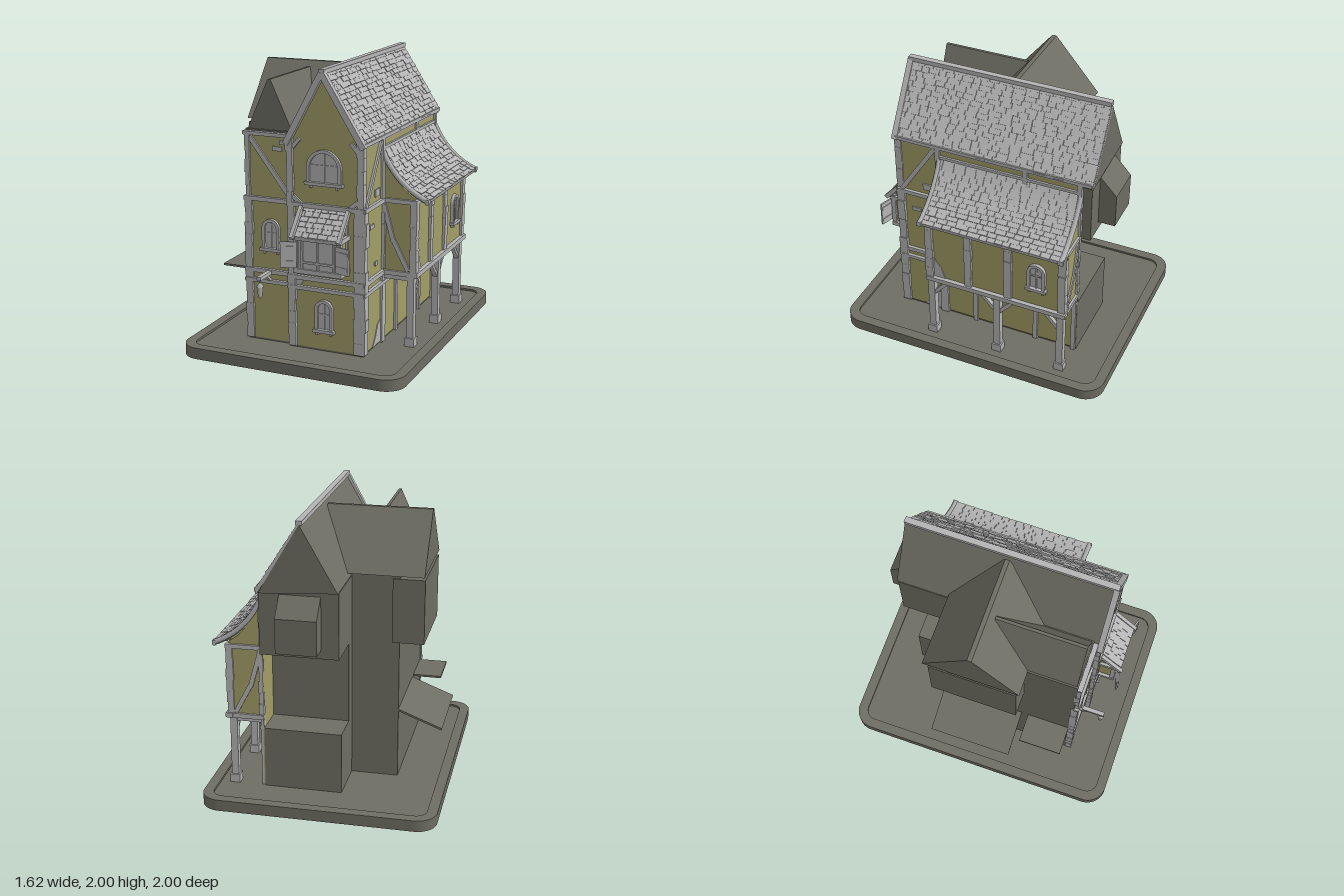
import * as THREE from 'three';
import { mergeGeometries } from 'three/addons/utils/BufferGeometryUtils.js';

const mat = (name, color) => Object.assign(new THREE.MeshStandardMaterial({ color }), { name });
const V = (x, y, z = 0) => new THREE.Vector3(x, y, z);

export function createModel() {
  const root = new THREE.Group();
  root.name = 'timberHouse';
  const grey = mat('paleGrey', 0xb4b4b4);
  const plaster = mat('ochrePlaster', 0xa19d66);
  const dark = mat('darkStone', 0x6e6d63);

  let seed = 7;
  const rnd = () => (seed = (seed * 16807) % 2147483647) / 2147483647;
  const jit = (a) => (rnd() - 0.5) * 2 * a;

  const add = (name, geo, m, parent = root) => {
    const mesh = new THREE.Mesh(geo, m);
    mesh.name = name;
    parent.add(mesh);
    return mesh;
  };
  // box given by its limits on each axis
  const block = (name, m, x0, x1, y0, y1, z0, z1, parent) => {
    const g = new THREE.BoxGeometry(x1 - x0, y1 - y0, z1 - z0);
    g.translate((x0 + x1) / 2, (y0 + y1) / 2, (z0 + z1) / 2);
    return add(name, g, m, parent);
  };
  // timber from p to q with a section a (x) by b (z)
  const bar = (name, p, q, a, b, parent, m = grey) => {
    const d = q.clone().sub(p);
    const mesh = add(name, new THREE.BoxGeometry(a, d.length(), b), m, parent);
    mesh.position.copy(p).add(q).multiplyScalar(0.5);
    mesh.quaternion.setFromUnitVectors(V(0, 1, 0), d.normalize());
    return mesh;
  };
  const shapeOf = (pts) => new THREE.Shape(pts.map(([x, y]) => new THREE.Vector2(x, y)));
  const extrude = (shape, depth) => new THREE.ExtrudeGeometry(shape, { depth, bevelEnabled: false, curveSegments: 10 });
  // outline in (x, y) swept along z
  const prismZ = (name, m, pts, z0, z1, parent) =>
    add(name, extrude(shapeOf(pts), z1 - z0).translate(0, 0, z0), m, parent);
  // outline in (z, y) swept along x
  const prismX = (name, m, pts, x0, x1, parent) =>
    add(name, extrude(shapeOf(pts.map(([z, y]) => [-z, y])), x1 - x0).rotateY(Math.PI / 2).translate(x0, 0, 0), m, parent);
  // column of uneven stacked blocks
  const quoins = (name, x, z, y0, y1, w, d) => {
    const n = Math.max(2, Math.round((y1 - y0) / 0.085));
    const h = (y1 - y0) / n;
    const parts = [];
    for (let i = 0; i < n; i++) {
      const g = new THREE.BoxGeometry(w + jit(0.007), h, d + jit(0.005));
      parts.push(g.translate(x + jit(0.003), y0 + (i + 0.5) * h, z));
    }
    add(name, mergeGeometries(parts), grey);
  };

  // ---- base tray
  const rounded = (w, h, r) => {
    const s = new THREE.Shape();
    s.absarc(w - r, h - r, r, 0, Math.PI / 2);
    s.absarc(r - w, h - r, r, Math.PI / 2, Math.PI);
    s.absarc(r - w, r - h, r, Math.PI, Math.PI * 1.5);
    s.absarc(w - r, r - h, r, Math.PI * 1.5, Math.PI * 2);
    return s;
  };
  const rim = rounded(0.81, 1, 0.14);
  rim.holes.push(rounded(0.74, 0.93, 0.08));
  add('baseRim', extrude(rim, 0.08).rotateX(-Math.PI / 2), dark);
  add('baseFloor', extrude(rounded(0.81, 1, 0.14), 0.065).rotateX(-Math.PI / 2), dark);

  // ---- plain masonry bodies
  block('groundFloor', dark, -0.12, 0.42, 0.06, 0.5, -0.69, 0.66);
  block('middleFloor', dark, -0.12, 0.42, 0.5, 1.08, -0.45, 0.66);
  block('upperFloor', dark, -0.12, 0.42, 1.07, 1.53, -0.76, 0.66);
  block('sideWing', dark, -0.45, -0.1, 0.06, 1.56, -0.35, 0.63);
  block('wingOverhang', dark, -0.62, -0.4, 1.07, 1.525, -0.36, 0.26);
  prismX('backBay', dark, [[-0.75, 1.13], [-0.88, 1.13], [-0.88, 1.37], [-0.75, 1.51]], 0, 0.28);
  prismZ('mainRoofCore', dark, [[-0.115, 1.53], [0.42, 1.5], [0.138, 1.975]], -0.77, 0.66);
  prismX('wingRoof', dark, [[-0.4, 1.555], [0.28, 1.555], [-0.04, 1.94], [-0.07, 1.94]], -0.62, 0.11);
  prismZ('frontWingRoof', dark, [[-0.44, 1.555], [-0.105, 1.555], [-0.265, 1.9], [-0.285, 1.9]], 0, 0.62);
  bar('slopedAwning', V(-0.755, 0.45, -0.05), V(-0.44, 0.572, -0.05), 0.014, 0.6, root, dark);
  block('flatAwning', dark, -0.655, -0.44, 0.562, 0.576, 0.3, 0.61);

  // ---- plaster faces and side aisle
  block('wingFrontPlaster', plaster, -0.44, -0.11, 0.08, 1.54, 0.63, 0.638);
  prismZ('mainFrontPlaster', plaster, [[-0.115, 0.08], [0.42, 0.08], [0.42, 1.52], [0.138, 1.96], [-0.115, 1.53]], 0.66, 0.668);
  block('rightPlaster', plaster, 0.42, 0.428, 0.08, 1.52, -0.69, 0.66);
  prismZ('aisle', plaster, [[0.42, 0.56], [0.66, 0.56], [0.66, 1.11], [0.58, 1.17], [0.5, 1.27], [0.42, 1.4]], -0.68, 0.335);

  // ---- tiled roofs following a curve in the xy plane
  const tileRoof = (name, curve, z0, z1, rows, tileW, parent = root) => {
    const top = curve.getPoints(12).map((p) => [p.x, p.y]);
    const under = top.map(([x, y]) => [x - 0.008, y - 0.024]).reverse();
    prismZ(name + 'Slab', grey, [...top, ...under], z0, z1, parent);
    const pitch = curve.getLength() / rows;
    const tiles = [];
    for (let r = 0; r < rows; r++) {
      const u = (r + 0.5) / rows, p = curve.getPointAt(u), t = curve.getTangentAt(u);
      for (let z = z0; z < z1 - 0.005;) {
        let w = Math.min(tileW * (0.65 + 0.7 * rnd()), z1 - z);
        if (z1 - z - w < 0.02) w = z1 - z;
        const g = new THREE.BoxGeometry(pitch * 1.12 + jit(0.004), 0.01, w - 0.004);
        g.rotateZ(Math.atan2(t.y, t.x) + 0.12);
        tiles.push(g.translate(p.x + jit(0.002), p.y + 0.003 + jit(0.002), z + w / 2));
        z += w;
      }
    }
    add(name + 'Tiles', mergeGeometries(tiles), grey, parent);
  };
  tileRoof('mainRoof', new THREE.LineCurve3(V(0.14, 1.98), V(0.437, 1.515)), -0.77, 0.695, 15, 0.075);
  const aisleCurve = new THREE.QuadraticBezierCurve3(V(0.43, 1.425), V(0.53, 1.2), V(0.755, 1.105));
  tileRoof('aisleRoof', aisleCurve, -0.68, 0.34, 13, 0.07);
  for (const z of [-0.685, 0.345]) {
    const log = add('aisleRoofEdge', new THREE.TubeGeometry(aisleCurve, 12, 0.019, 6), grey);
    log.position.z = z;
    block('aisleEdgeCap', grey, 0.742, 0.765, 1.085, 1.12, z - 0.018, z + 0.018);
  }
  for (let i = 0; i < 9; i++) block('rafterEnd', plaster, 0.65, 0.72, 1.085, 1.11, -0.61 + i * 0.1, -0.55 + i * 0.1);

  // ---- gable boards
  bar('gableBoardLeft', V(-0.125, 1.49, 0.68), V(0.138, 1.975, 0.68), 0.042, 0.04);
  bar('gableBoardRight', V(0.435, 1.5, 0.68), V(0.138, 1.975, 0.68), 0.042, 0.04);
  block('ridgeCap', grey, 0.118, 0.16, 1.97, 2, -0.77, 0.695);

  // ---- front columns and beams
  quoins('wingColumn', -0.43, 0.63, 0.08, 1.08, 0.055, 0.05);
  quoins('middleColumn', -0.09, 0.665, 0.08, 1.08, 0.055, 0.05);
  quoins('cornerColumn', 0.405, 0.655, 0.08, 1.08, 0.085, 0.06);
  quoins('wingUpperColumn', -0.43, 0.635, 1.08, 1.53, 0.035, 0.04);
  quoins('middleUpperColumn', -0.1, 0.67, 1.08, 1.53, 0.045, 0.04);
  quoins('cornerUpperColumn', 0.41, 0.66, 1.08, 1.53, 0.05, 0.05);
  for (const [y, w] of [[0.578, 0.03], [0.505, 0.026], [1.085, 0.03], [1.535, 0.025]]) {
    bar('wingBeam', V(-0.46, y, 0.645), V(-0.1, y, 0.645), w, 0.035);
    if (y < 1.5) bar('mainBeam', V(-0.12, y, 0.675), V(0.44, y, 0.675), w, 0.035);
  }
  bar('wingBrace', V(-0.415, 1.51, 0.64), V(-0.12, 1.12, 0.64), 0.032, 0.022);
  for (const [x, s] of [[-0.08, 1], [0.39, -1]]) {
    bar('upperCornerBrace', V(x, 1.14, 0.672), V(x + 0.06 * s, 1.09, 0.672), 0.03, 0.02);
    bar('lowerCornerBrace', V(x, 1.47, 0.672), V(x + 0.05 * s, 1.53, 0.672), 0.025, 0.02);
  }

  // ---- aisle front and back frames
  for (const z of [0.337, -0.682]) {
    bar('aisleLowBeam', V(0.42, 0.578, z), V(0.69, 0.578, z), 0.032, 0.03);
    bar('aisleHighBeam', V(0.42, 1.085, z), V(0.68, 1.085, z), 0.03, 0.03);
    bar('aisleBraceTop', V(0.44, 1.05, z), V(0.51, 0.8, z), 0.032, 0.02);
    bar('aisleBraceFoot', V(0.51, 0.81, z), V(0.62, 0.6, z), 0.032, 0.02);
    quoins('aisleEdgeColumn', 0.435, z, 0.6, 1.08, 0.03, 0.03);
  }
  // ---- aisle right side: columns, beams, posts with braces
  for (const z of [0.325, 0.03, -0.27, -0.665]) quoins('aisleColumn', 0.655, z, 0.59, 1.08, 0.05, 0.055);
  bar('aisleSill', V(0.665, 0.578, 0.35), V(0.665, 0.578, -0.7), 0.05, 0.034);
  bar('aislePlate', V(0.665, 1.085, 0.35), V(0.665, 1.085, -0.7), 0.03, 0.028);
  for (const z of [0.325, -0.18, -0.655]) {
    block('aislePost', grey, 0.615, 0.665, 0.1, 0.57, z - 0.025, z + 0.025);
    block('postFoot', grey, 0.605, 0.675, 0.065, 0.125, z - 0.035, z + 0.035);
    for (const s of [-1, 1])
      if (Math.abs(z + s * 0.14) < 0.68 && z + s * 0.14 < 0.4)
        bar('postBrace', V(0.64, 0.41, z), V(0.64, 0.565, z + s * 0.14), 0.03, 0.026);
    bar('floorJoist', V(0.42, 0.55, z), V(0.66, 0.55, z), 0.035, 0.035);
  }
  // ---- right wall timbers
  bar('rightLowBeam', V(0.435, 0.505, 0.68), V(0.435, 0.505, -0.69), 0.03, 0.026);
  bar('rightSill', V(0.435, 0.578, 0.68), V(0.435, 0.578, 0.33), 0.03, 0.03);
  bar('rightMidBeam', V(0.435, 1.085, 0.68), V(0.435, 1.085, 0.33), 0.03, 0.03);
  bar('rightTopBeam', V(0.43, 1.52, 0.68), V(0.43, 1.52, -0.76), 0.03, 0.025);
  bar('rightRail', V(0.432, 1.445, 0.35), V(0.432, 1.445, -0.69), 0.022, 0.022);
  bar('rightBrace', V(0.432, 1.1, 0.645), V(0.432, 1.5, 0.38), 0.02, 0.032);
  for (const z of [0.355, -0.29, -0.68]) bar('rightStud', V(0.432, 1.07, z), V(0.432, 1.52, z), 0.025, 0.035);
  for (const z of [0.34, 0.09, -0.38, -0.67]) bar('groundStud', V(0.432, 0.07, z), V(0.432, 0.56, z), 0.025, z > 0.3 ? 0.06 : 0.032);

  // ---- bare patches and loose bricks
  prismX('wallPatch', grey, [[0.51, 0.08], [0.35, 0.08], [0.35, 0.25], [0.42, 0.22], [0.46, 0.14]], 0.428, 0.433);
  prismX('aislePatch', grey, [[0.3, 0.59], [0.21, 0.59], [0.24, 0.68], [0.28, 0.73], [0.3, 0.77]], 0.66, 0.665);
  prismZ('frontPatch', grey, [[-0.07, 0.52], [-0.03, 0.52], [0, 0.57], [-0.07, 0.57]], 0.668, 0.673);
  for (const [z, y, w, h] of [[0.445, 1.16, 0.07, 0.05], [0.54, 0.945, 0.07, 0.028], [0.46, 0.67, 0.04, 0.03], [-0.32, 0.46, 0.07, 0.028], [-0.34, 0.43, 0.05, 0.025]])
    block('looseBrick', grey, 0.425, 0.437, y - h / 2, y + h / 2, z - w / 2, z + w / 2);
  block('looseBrick', grey, -0.245, -0.175, 1.425, 1.455, 0.63, 0.648);
  block('looseBrick', grey, -0.19, -0.145, 1.47, 1.498, 0.63, 0.648);

  // ---- arched windows facing local +z, origin at the sill centre
  const arch = (w, h) => {
    const s = new THREE.Shape();
    s.moveTo(-w / 2, 0);
    s.lineTo(w / 2, 0);
    s.lineTo(w / 2, h - w / 2);
    s.absarc(0, h - w / 2, w / 2, 0, Math.PI);
    return s;
  };
  const archWindow = (name, w, h, x, y, z, turn = 0) => {
    const g = new THREE.Group();
    g.name = name;
    const f = 0.022;
    const frame = arch(w, h);
    frame.holes.push(arch(w - 2 * f, h - f));
    add('windowFrame', extrude(frame, 0.024), grey, g);
    add('windowPane', extrude(arch(w - f, h - f / 2), 0.008), grey, g);
    block('windowSill', grey, -w / 2 - 0.012, w / 2 + 0.012, -0.016, 0.006, 0, 0.034, g);
    block('mullion', grey, -0.005, 0.005, 0, h - f, 0, 0.015, g);
    block('transom', grey, -w / 2 + f, w / 2 - f, h * 0.5, h * 0.5 + 0.01, 0, 0.015, g);
    for (const s of [-1, 1]) block('sillBracket', grey, s * w * 0.38 - 0.008, s * w * 0.38 + 0.008, -0.035, -0.01, 0, 0.025, g);
    g.position.set(x, y, z);
    g.rotation.y = turn;
    root.add(g);
  };
  archWindow('upperWindow', 0.25, 0.225, 0.15, 1.245, 0.666);
  archWindow('wingWindow', 0.13, 0.21, -0.262, 0.74, 0.636);
  archWindow('groundWindow', 0.13, 0.215, 0.145, 0.22, 0.666);
  archWindow('aisleWindow', 0.13, 0.205, 0.66, 0.75, -0.48, Math.PI / 2);

  // ---- front bay window with small roof and open shutters
  block('bayBody', plaster, 0, 0.31, 0.66, 0.92, 0.66, 0.79);
  prismX('bayCheeks', plaster, [[0.66, 0.9], [0.8, 0.9], [0.67, 1.05]], 0.005, 0.305);
  block('bayPane', grey, 0.01, 0.3, 0.68, 0.9, 0.79, 0.796);
  for (const x of [0, 0.31]) {
    block('bayPost', grey, x - 0.015, x + 0.015, 0.65, 0.92, 0.775, 0.808);
    block('bayBackPost', grey, x - 0.012, x + 0.012, 0.65, 1.06, 0.66, 0.69);
  }
  for (const y of [0.665, 0.895]) block('bayRail', grey, -0.02, 0.33, y - 0.016, y + 0.016, 0.66, 0.81);
  for (const x of [0.04, 0.155, 0.27]) block('bayMullion', grey, x - 0.008, x + 0.008, 0.68, 0.89, 0.79, 0.805);
  block('bayTransom', grey, 0.03, 0.28, 0.72, 0.735, 0.79, 0.805);
  const bayRoof = new THREE.Group();
  bayRoof.name = 'bayRoof';
  bayRoof.rotation.y = -Math.PI / 2;
  root.add(bayRoof);
  tileRoof('bayRoof', new THREE.LineCurve3(V(0.675, 1.075), V(0.835, 0.905)), -0.315, -0.005, 6, 0.06, bayRoof);
  for (const x of [-0.015, 0.325]) bar('bayRoofEdge', V(x, 1.075, 0.68), V(x, 0.895, 0.845), 0.026, 0.03);
  for (const s of [-1, 1]) {
    const shutter = new THREE.Group();
    shutter.name = 'shutter';
    block('shutterBoard', grey, -0.055, 0.055, 0.69, 0.87, -0.006, 0.006, shutter);
    for (const y of [0.73, 0.83]) block('shutterBatten', grey, -0.05, 0.05, y - 0.01, y + 0.01, -0.011, 0.011, shutter);
    shutter.position.set(0.155 + s * 0.195, 0, 0.835);
    shutter.rotation.y = s * -0.3;
    root.add(shutter);
  }

  // ---- hanging lantern
  bar('lanternArm', V(-0.27, 0.575, 0.63), V(-0.27, 0.575, 0.825), 0.03, 0.025);
  bar('lanternStrut', V(-0.27, 0.51, 0.64), V(-0.27, 0.57, 0.72), 0.02, 0.018);
  bar('lanternHook', V(-0.27, 0.53, 0.805), V(-0.27, 0.57, 0.805), 0.008, 0.008);
  const lantern = [[0, 0.43], [0.012, 0.44], [0.016, 0.455], [0.021, 0.51], [0.026, 0.515], [0.01, 0.54], [0, 0.545]];
  const glass = add('lantern', new THREE.LatheGeometry(lantern.map(([x, y]) => new THREE.Vector2(x, y)), 6), grey);
  glass.position.set(-0.27, 0, 0.805);

  return root;
}
